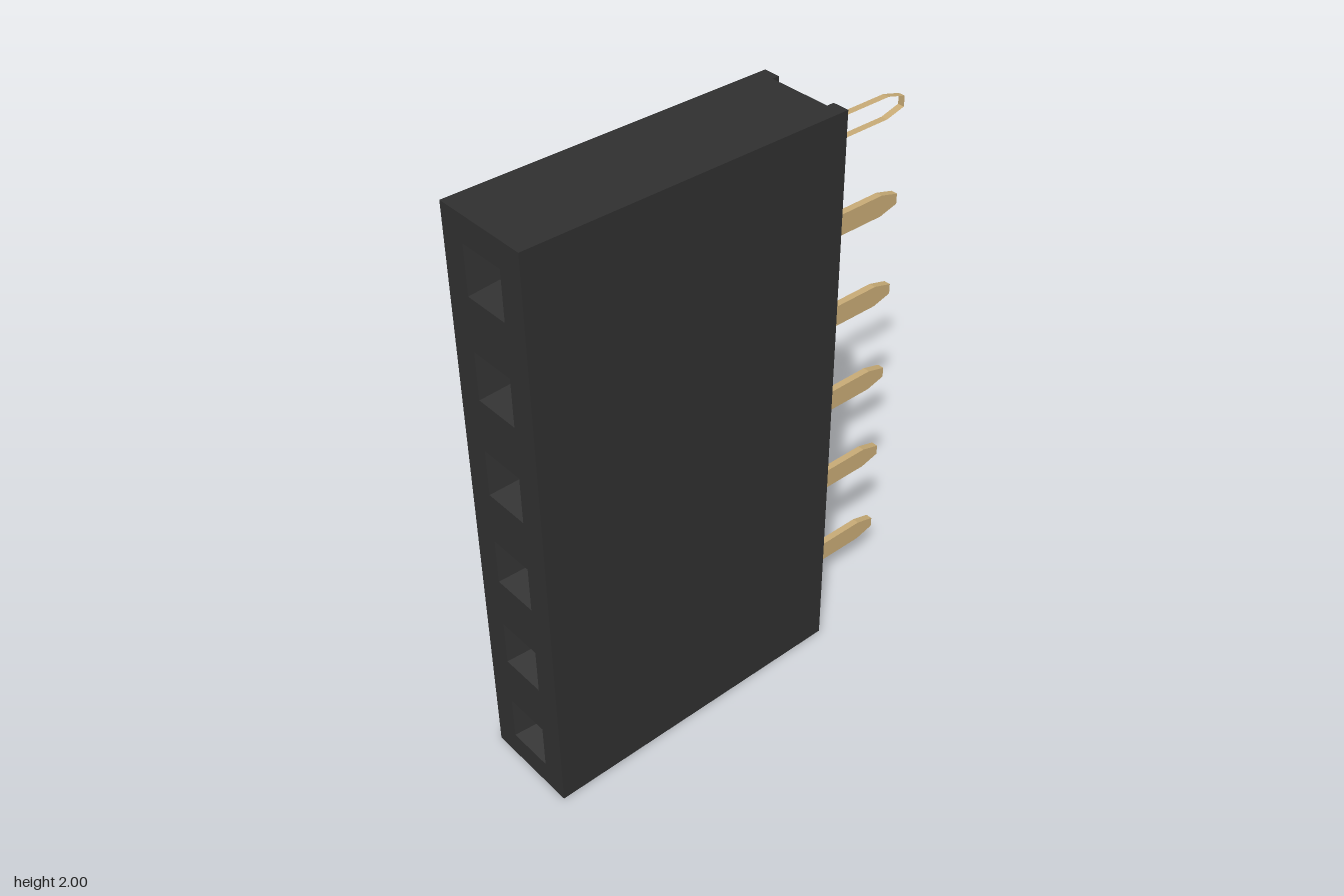
import * as THREE from 'three';

const COUNT = 6, PITCH = 1 / 3;
const HALF_W = 0.167, FRONT = 0.76, BACK = -0.355, FLOOR = 0.2;

const toShape = (pts) => new THREE.Shape(pts.map(([a, b]) => new THREE.Vector2(a, b)));
const extrude = (shape, depth) => new THREE.ExtrudeGeometry(shape, { depth, bevelEnabled: false });

// Rear half of the housing: a U profile with a shallow channel down the back
function rearGeometry() {
  const s = toShape([
    [-HALF_W, -FLOOR], [HALF_W, -FLOOR], [HALF_W, -BACK], [0.11, -BACK],
    [0.11, 0.33], [-0.11, 0.33], [-0.11, -BACK], [-HALF_W, -BACK],
  ]);
  return extrude(s, 2).rotateX(-Math.PI / 2);
}

// Front half of the housing, pierced by the square sockets
function frontGeometry() {
  const s = toShape([[-HALF_W, 0], [HALF_W, 0], [HALF_W, 2], [-HALF_W, 2]]);
  for (let i = 0; i < COUNT; i++) {
    const y = (i + 0.5) * PITCH, h = 0.08;
    s.holes.push(toShape([[-h, y - h], [-h, y + h], [h, y + h], [h, y - h]]));
  }
  return extrude(s, FRONT - FLOOR).translate(0, 0, FLOOR);
}

// Square funnel narrowing into a straight shaft
function socketGeometry() {
  const profile = [[0.08, FRONT], [0.042, 0.68], [0.042, FLOOR]]
    .map(([h, z]) => new THREE.Vector2(h * Math.SQRT2, z));
  const g = new THREE.LatheGeometry(profile, 4, Math.PI / 4).toNonIndexed();
  g.computeVertexNormals();
  return g.rotateX(Math.PI / 2);
}

// Flat contact blade with a tapered tail
function pinGeometry() {
  const s = toShape([
    [-0.76, -0.018], [-0.69, -0.037], [0.3, -0.037],
    [0.3, 0.037], [-0.69, 0.037], [-0.76, 0.018],
  ]);
  return extrude(s, 0.024).translate(0, 0, -0.012).rotateY(-Math.PI / 2);
}

// Only the rim of a blade, leaving both flat sides open
function rimGeometry(pin) {
  const { start, count } = pin.groups[1];
  const g = new THREE.BufferGeometry();
  for (const name of ['position', 'normal']) {
    const data = pin.attributes[name].array.slice(start * 3, (start + count) * 3);
    g.setAttribute(name, new THREE.BufferAttribute(data, 3));
  }
  return g;
}

export function createModel() {
  const black = new THREE.MeshStandardMaterial({ color: 0x303030, side: THREE.DoubleSide });
  black.name = 'black plastic';
  const gold = new THREE.MeshStandardMaterial({ color: 0xc8ab76, side: THREE.DoubleSide });
  gold.name = 'gold metal';

  const model = new THREE.Group();
  model.name = 'pinSocketHeader';
  const add = (name, geometry, material, y = 0) => {
    const mesh = new THREE.Mesh(geometry, material);
    mesh.name = name;
    mesh.position.y = y;
    model.add(mesh);
  };

  add('housingRear', rearGeometry(), black);
  add('housingFront', frontGeometry(), black);

  // One socket and one contact per position; the top contact is an open loop
  const socket = socketGeometry(), pin = pinGeometry(), rim = rimGeometry(pin);
  for (let i = 0; i < COUNT; i++) {
    const y = (i + 0.5) * PITCH;
    add('socket' + (i + 1), socket, black, y);
    add('pin' + (i + 1), i === COUNT - 1 ? rim : pin, gold, y);
  }
  return model;
}
